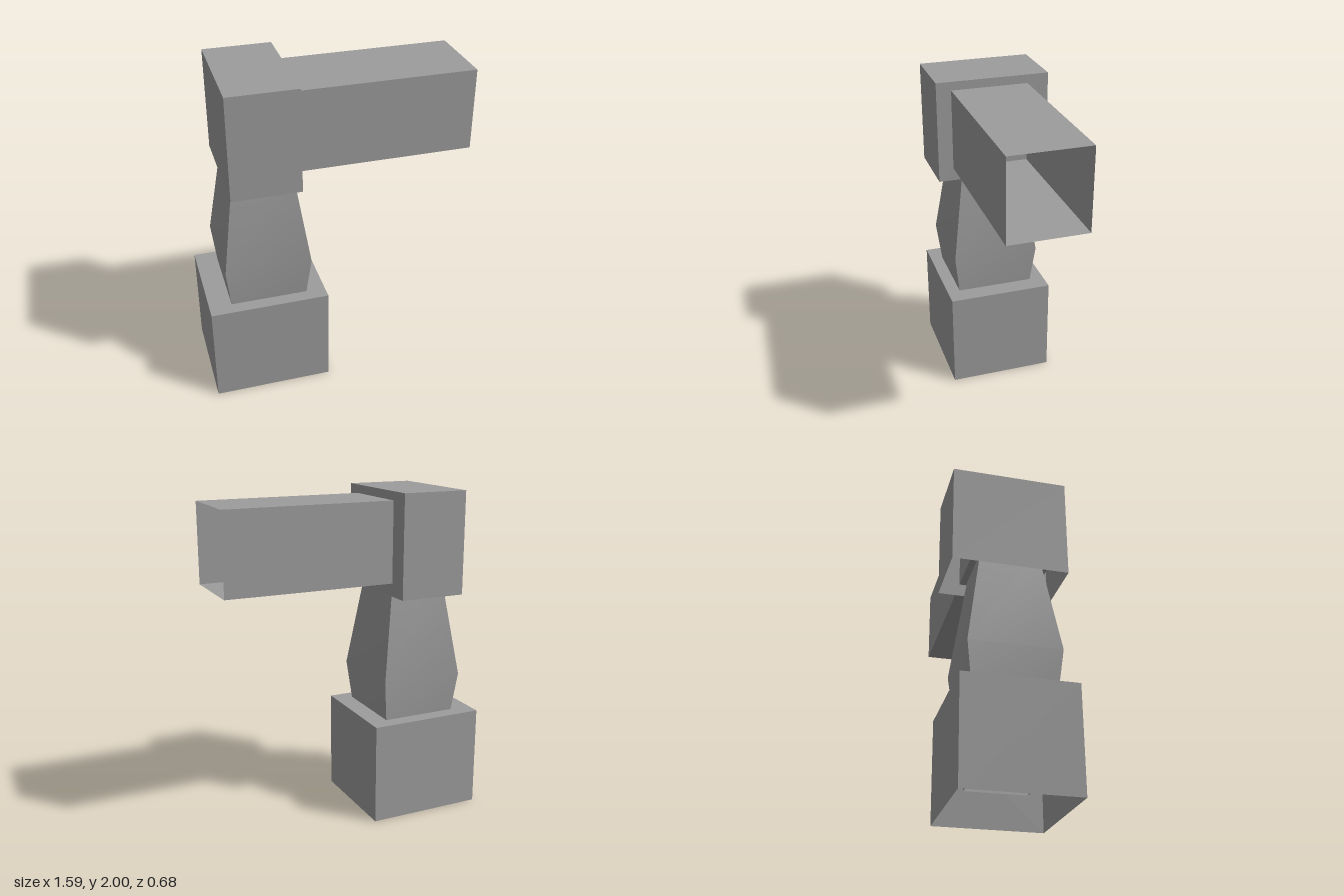
import * as THREE from 'three';

const material = new THREE.MeshStandardMaterial({ color: 0x9c9c9c, side: THREE.DoubleSide });

// Side numbers of a box: 0 +x, 1 -x, 2 +y, 3 -y, 4 +z, 5 -z
function openSides(geometry, sides) {
  const index = Array.from(geometry.index.array);
  const kept = geometry.groups
    .filter((g) => !sides.includes(g.materialIndex))
    .flatMap((g) => index.slice(g.start, g.start + g.count));
  geometry.setIndex(kept);
  geometry.clearGroups();
  return geometry;
}

// Thin box shell between two corners, with some sides left open
function shell(name, min, max, open) {
  const size = max.map((v, i) => v - min[i]);
  const geometry = openSides(new THREE.BoxGeometry(...size), open);
  geometry.translate(...max.map((v, i) => (v + min[i]) / 2));
  const mesh = new THREE.Mesh(geometry, material);
  mesh.name = name;
  return mesh;
}

// Four-sided tube that swells at its middle ring; each side is smooth from
// bottom to top, while the upright corners stay sharp
function buildNeck() {
  const rings = [
    { y: 0.16, x: [-0.61, -0.25], z: [-0.18, 0.19] },
    { y: 0.86, x: [-0.688, -0.172], z: [-0.262, 0.275] },
    { y: 1.55, x: [-0.586, -0.272], z: [-0.16, 0.174] },
  ];
  const geometry = openSides(new THREE.BoxGeometry(2, 2, 2, 1, 2, 1), [2, 3]);
  const p = geometry.attributes.position;
  for (let i = 0; i < p.count; i++) {
    const ring = rings[Math.round(p.getY(i)) + 1];
    p.setXYZ(i, ring.x[p.getX(i) > 0 ? 1 : 0], ring.y, ring.z[p.getZ(i) > 0 ? 1 : 0]);
  }
  geometry.computeVertexNormals();
  const mesh = new THREE.Mesh(geometry, material);
  mesh.name = 'neck';
  return mesh;
}

export function createModel() {
  const group = new THREE.Group();
  group.name = 'model';
  group.add(
    // Base, open underneath
    shell('base', [-0.796, 0, -0.325], [-0.083, 0.618, 0.325], [3]),
    buildNeck(),
    // Head, open underneath
    shell('head', [-0.64, 1.385, -0.342], [-0.235, 2, 0.342], [3]),
    // Arm, open at its far end and reaching into the head
    shell('arm', [-0.53, 1.463, -0.213], [0.796, 1.948, 0.252], [0]),
  );
  return group;
}
